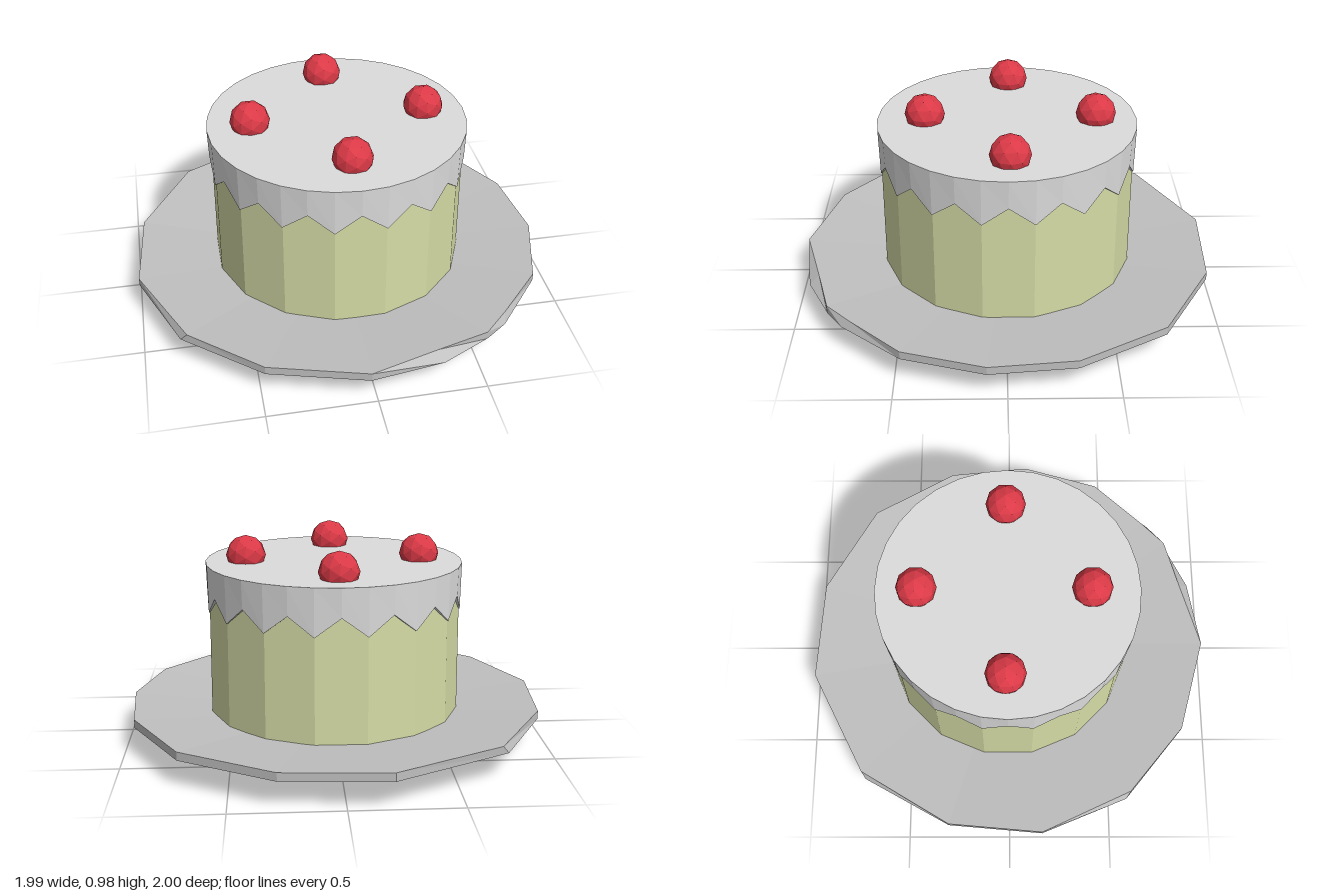
import * as THREE from 'three';

const mat = (name, color) => {
  const m = new THREE.MeshStandardMaterial({ color, flatShading: true });
  m.name = name;
  return m;
};

// Faceted surface through closed rings, listed from the top centre outwards, down and back in.
function rings(list) {
  const p = [];
  const n = list[0].length;
  for (let k = 0; k + 1 < list.length; k++) {
    const a = list[k], b = list[k + 1];
    for (let i = 0; i < n; i++) {
      const j = (i + 1) % n;
      for (const tri of [[a[i], b[i], b[j]], [a[i], b[j], a[j]]]) {
        if (new THREE.Triangle(...tri).getArea() > 1e-7) tri.forEach(v => p.push(v.x, v.y, v.z));
      }
    }
  }
  const g = new THREE.BufferGeometry();
  g.setAttribute('position', new THREE.Float32BufferAttribute(p, 3));
  g.computeVertexNormals();
  return g;
}

// Regular ring; y may depend on the index, turn is in steps
const circle = (n, r, y, turn = 0) => Array.from({ length: n }, (_, i) => {
  const a = (i + turn) / n * Math.PI * 2;
  return new THREE.Vector3(Math.sin(a) * r, typeof y === 'function' ? y(i) : y, Math.cos(a) * r);
});

export function createModel() {
  const model = new THREE.Group();
  model.name = 'cakeOnStand';
  const plateGrey = mat('plate grey', 0xc0c0c0);
  const sponge = mat('sponge yellow', 0xd6dca6);
  const icing = mat('icing white', 0xdcdcdc);
  const red = mat('cherry red', 0xdc3a47);

  const add = (name, geometry, material, x = 0, y = 0, z = 0) => {
    const mesh = new THREE.Mesh(geometry, material);
    mesh.name = name;
    mesh.position.set(x, y, z);
    model.add(mesh);
  };

  // Plate with an uneven hand-cut rim
  const rim = [[-0.03, 0.995], [0.29, 0.9], [0.54, 0.83], [0.66, 0.71], [0.88, 0.47],
    [0.99, 0.09], [0.95, -0.31], [0.72, -0.72], [0.29, -0.97], [-0.2, -1],
    [-0.7, -0.74], [-0.96, -0.3], [-1, 0.16], [-0.8, 0.6], [-0.48, 0.87]];
  const lower = rim.map(p => [...p]);
  lower[1] = [0.31, 0.945];
  lower[3] = [0.65, 0.75];
  lower[10] = [-0.73, -0.72];
  lower[13] = [-0.83, 0.58];
  const cut = (pts, s, y) => pts.map(([x, z]) => new THREE.Vector3(x * s, y, z * s));
  add('plate', rings([cut(rim, 0, 0.13), cut(rim, 0.55, 0.13), cut(rim, 1, 0.165),
    cut(lower, 1, 0.125), cut(rim, 0.54, 0.055), cut(rim, 0, 0.055)]), plateGrey);

  // Hollow foot ring with twisted facets
  add('foot', rings([circle(8, 0.54, 0.065, -0.5), circle(8, 0.555, 0),
    circle(8, 0.45, 0), circle(8, 0.46, 0.06, 0.5)]), plateGrey);

  // Sponge body
  const body = new THREE.CylinderGeometry(0.603, 0.608, 0.72, 16);
  body.rotateY(Math.PI / 16);
  add('sponge', body, sponge, 0, 0.48, -0.008);

  // Icing cap with a zigzag hem
  const hem = i => (i % 2 ? 0.63 : 0.72);
  add('icing', rings([circle(32, 0, 0.855), circle(32, 0.614, 0.855),
    circle(32, 0.61, hem), circle(32, 0.58, hem)]), icing, 0, 0, -0.008);

  // Cherries
  const cherry = new THREE.IcosahedronGeometry(0.095, 1);
  [[0, 0.38], [0.42, -0.018], [0, -0.428], [-0.41, -0.018]].forEach(([x, z]) =>
    add('cherry', cherry, red, x, 0.884, z));

  return model;
}
